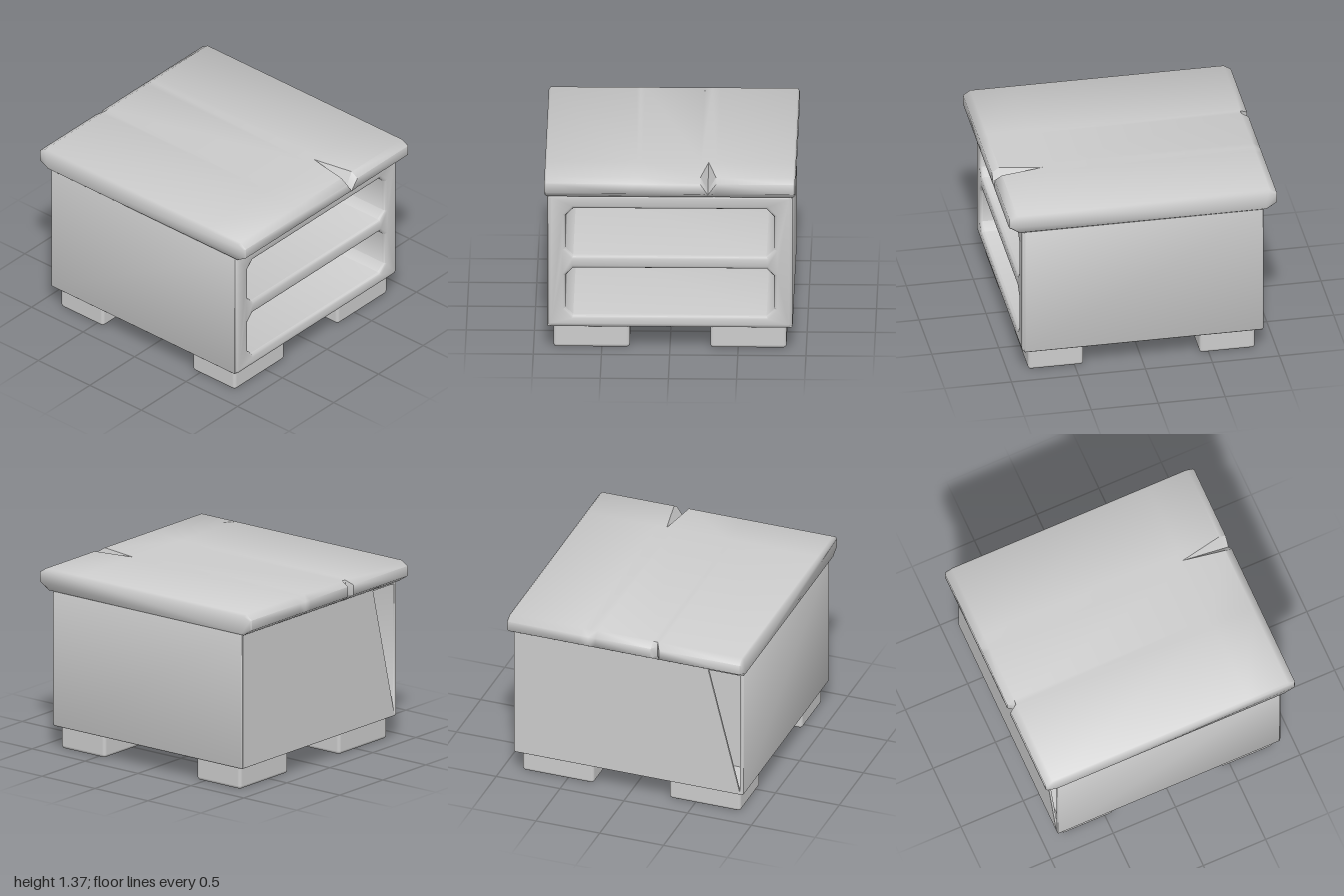
import * as THREE from 'three';
import { toCreasedNormals } from 'three/addons/utils/BufferGeometryUtils.js';
import { RoundedBoxGeometry } from 'three/addons/geometries/RoundedBoxGeometry.js';

const material = new THREE.MeshStandardMaterial({ color: 0xcccccc });

function add(group, name, geometry, x = 0, y = 0, z = 0) {
  const mesh = new THREE.Mesh(geometry, material);
  mesh.name = name;
  mesh.position.set(x, y, z);
  group.add(mesh);
}

// Rectangle with cut corners, traced counter-clockwise
function cutRect(Type, w, y0, y1, c) {
  const p = [[-w + c, y0], [w - c, y0], [w, y0 + c], [w, y1 - c],
    [w - c, y1], [-w + c, y1], [-w, y1 - c], [-w, y0 + c]];
  return new Type(p.map(([x, y]) => new THREE.Vector2(x, y)));
}

// Extrude a side-view shape along x from x0 to x1, with bevel b
function extrudeX(shape, x0, x1, b) {
  const g = new THREE.ExtrudeGeometry(shape, {
    depth: x1 - x0 - 2 * b, bevelEnabled: b > 0, bevelThickness: b, bevelSize: b, bevelSegments: 2,
  });
  g.rotateY(Math.PI / 2).translate(x0 + b, 0, 0);
  return toCreasedNormals(g, 0.85);
}

// Tabletop: chamfered profile lofted along z, with a split on the left edge and a nick on the right
function tabletopGeometry() {
  const profile = [[-0.92, 1.207], [0.92, 1.207], [1, 1.258], [1, 1.335], [0.945, 1.37],
    [0.63, 1.37], [-0.945, 1.37], [-1, 1.335], [-1, 1.258]];
  const split = { 2: [0.996, 1.25], 3: [0.997, 1.252], 4: [0.945, 1.267] };
  const stations = [-0.92, -0.905, -0.34, -0.28, -0.225, 0.21, 0.245, 0.275, 0.905, 0.92];
  const n = profile.length, last = stations.length - 1;
  const splitAt = 3, nickAt = 6;
  const pos = [], index = [];
  stations.forEach((z, j) => profile.forEach(([px, py], i) => {
    let x = px, y = py;
    if (j === splitAt && split[i]) [x, y] = split[i];
    if (j === nickAt) x = Math.max(x, -0.95);
    if (j === 0 || j === last) { x *= 0.99; y = 1.287 + (y - 1.287) * 0.83; }
    pos.push(x, y, z);
  }));
  for (let j = 0; j < last; j++) {
    for (let i = 0; i < n; i++) {
      const k = (i + 1) % n;
      const a = j * n + i, b = j * n + k, c = b + n, d = a + n;
      if (j === splitAt) index.push(a, b, d, b, c, d);
      else index.push(a, b, c, a, c, d);
    }
  }
  for (let i = 1; i < n - 1; i++) {
    index.push(0, i + 1, i);
    index.push(last * n, last * n + i, last * n + i + 1);
  }
  const g = new THREE.BufferGeometry();
  g.setAttribute('position', new THREE.Float32BufferAttribute(pos, 3));
  g.setIndex(index);
  return toCreasedNormals(g, 1.03);
}

// Thin-walled tube forming the floor, sides and top of the body
function shellGeometry() {
  const b = 0.008;
  const shape = cutRect(THREE.Shape, 0.9 - b, 0.175 + b, 1.215 - b, 0.005);
  shape.holes.push(cutRect(THREE.Path, 0.87 + b, 0.205 - b, 1.185 + b, 0.005));
  return extrudeX(shape, -0.9, 0.885, b);
}

// Block with two shelf openings facing +x
function shelfGeometry() {
  const b = 0.024;
  const shape = cutRect(THREE.Shape, 0.897 - b, 0.178 + b, 1.212 - b, 0.005);
  for (const [y0, y1] of [[0.27, 0.635], [0.735, 1.1]]) {
    shape.holes.push(cutRect(THREE.Path, 0.765 + b, y0 - b, y1 + b, 0.07));
  }
  return extrudeX(shape, -0.6, 0.9, b);
}

export function createModel() {
  const model = new THREE.Group();
  model.name = 'cabinet';
  add(model, 'tabletop', tabletopGeometry());
  add(model, 'bodyShell', shellGeometry());
  add(model, 'shelfBlock', shelfGeometry());
  add(model, 'shelfBack', new THREE.BoxGeometry(0.03, 0.99, 1.75), -0.591, 0.695, 0);

  // Panel closing the -x side, its front edge cut at a slant
  const panel = new THREE.Shape([[0.89, 0.183], [0.89, 1.207], [-0.62, 1.207], [-0.87, 0.2], [-0.87, 0.183]]
    .map(([x, y]) => new THREE.Vector2(x, y)));
  add(model, 'sidePanel', extrudeX(panel, -0.901, -0.885, 0));

  // Block feet, tops sunk into the body
  for (const sz of [1, -1]) {
    for (const sx of [1, -1]) {
      add(model, (sz > 0 ? 'front' : 'back') + (sx > 0 ? 'Left' : 'Right') + 'Foot',
        new RoundedBoxGeometry(0.415, 0.23, 0.56, 2, 0.025), sx * 0.64, 0.115, sz * 0.575);
    }
  }
  return model;
}
